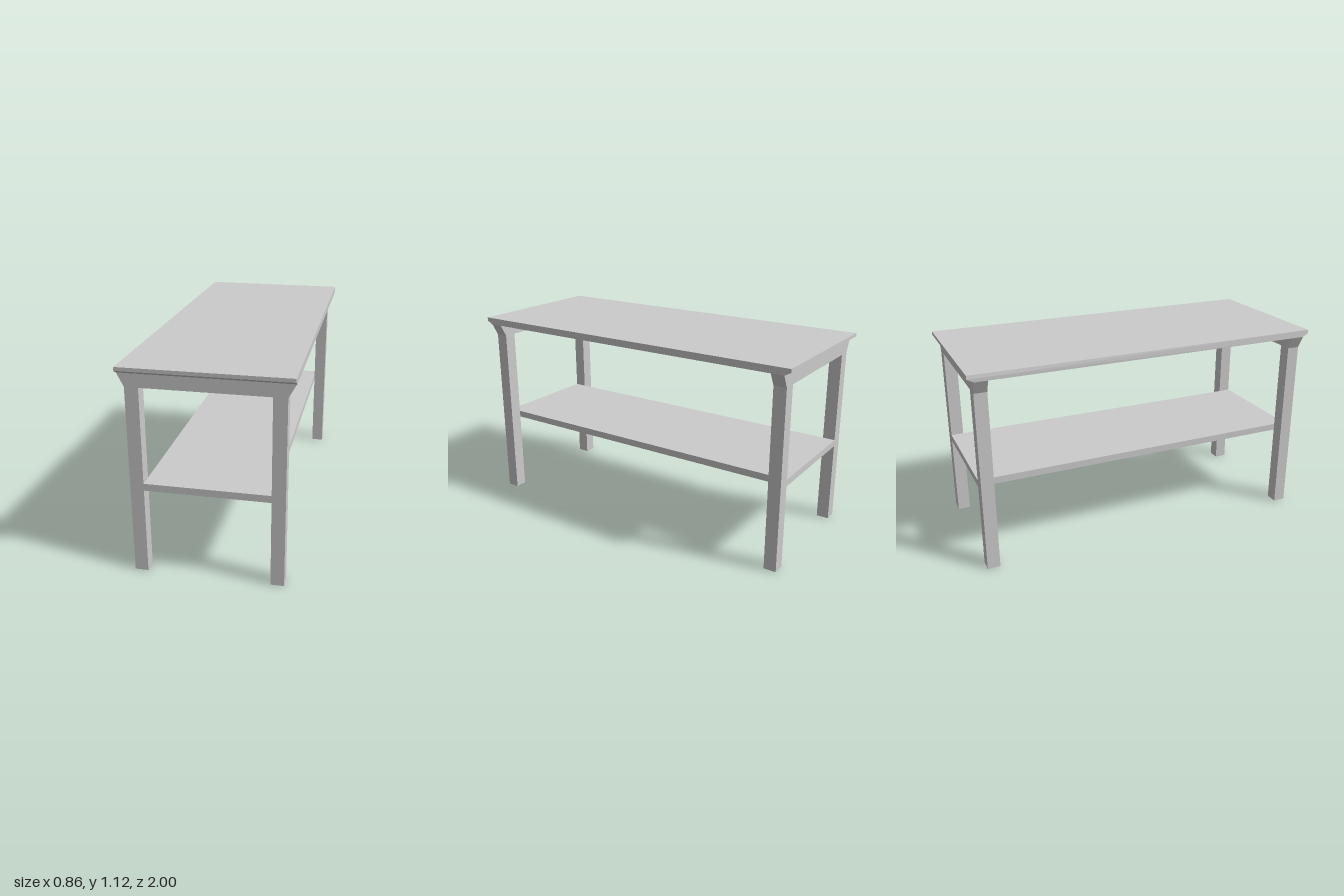
import * as THREE from 'three';

const material = new THREE.MeshStandardMaterial({ color: 0xcccccc, flatShading: true });

// Closed outline extruded to a depth, centred on z
function prism(points, depth) {
  const shape = new THREE.Shape(points.map(([x, y]) => new THREE.Vector2(x, y)));
  const geometry = new THREE.ExtrudeGeometry(shape, { depth, bevelEnabled: false });
  return geometry.translate(0, 0, -depth / 2);
}

function addPart(group, name, geometry) {
  const mesh = new THREE.Mesh(geometry, material);
  mesh.name = name;
  group.add(mesh);
  return mesh;
}

export function createModel() {
  const table = new THREE.Group();
  table.name = 'table';

  const topY = 1.118, edgeY = 1.099, underY = 1.08, apronY = 1.01;
  const frameZ = 0.93, frameDepth = 0.07;

  // Table top with chamfered lower ends
  const topGeometry = prism([
    [-0.965, underY], [0.965, underY], [1, edgeY], [1, topY], [-1, topY], [-1, edgeY],
  ], 0.857).rotateY(Math.PI / 2).translate(0.0015, 0, 0);
  // One long side leans out very slightly towards its lower edge
  const p = topGeometry.attributes.position;
  for (let i = 0; i < p.count; i++) {
    if (p.getX(i) < 0 && p.getY(i) < 1.11) p.setX(i, -0.43);
  }
  topGeometry.computeVertexNormals();
  addPart(table, 'tableTop', topGeometry);

  // End frames: two legs and an apron flaring out to the table top
  const frameOutline = [
    [-0.395, 0], [-0.325, 0], [-0.325, apronY], [0.32, apronY], [0.32, 0], [0.39, 0],
    [0.39, apronY], [0.428, underY], [-0.43, underY], [-0.395, apronY],
  ];
  for (const side of [1, -1]) {
    const frame = addPart(table, side > 0 ? 'frontLegFrame' : 'backLegFrame',
      prism(frameOutline, frameDepth));
    frame.position.z = side * frameZ;
  }

  // Lower shelf, held between the legs and flush with their outer faces
  const shelf = addPart(table, 'shelf', new THREE.BoxGeometry(0.645, 0.038, 1.93));
  shelf.position.set(-0.0025, 0.485, 0);

  return table;
}
